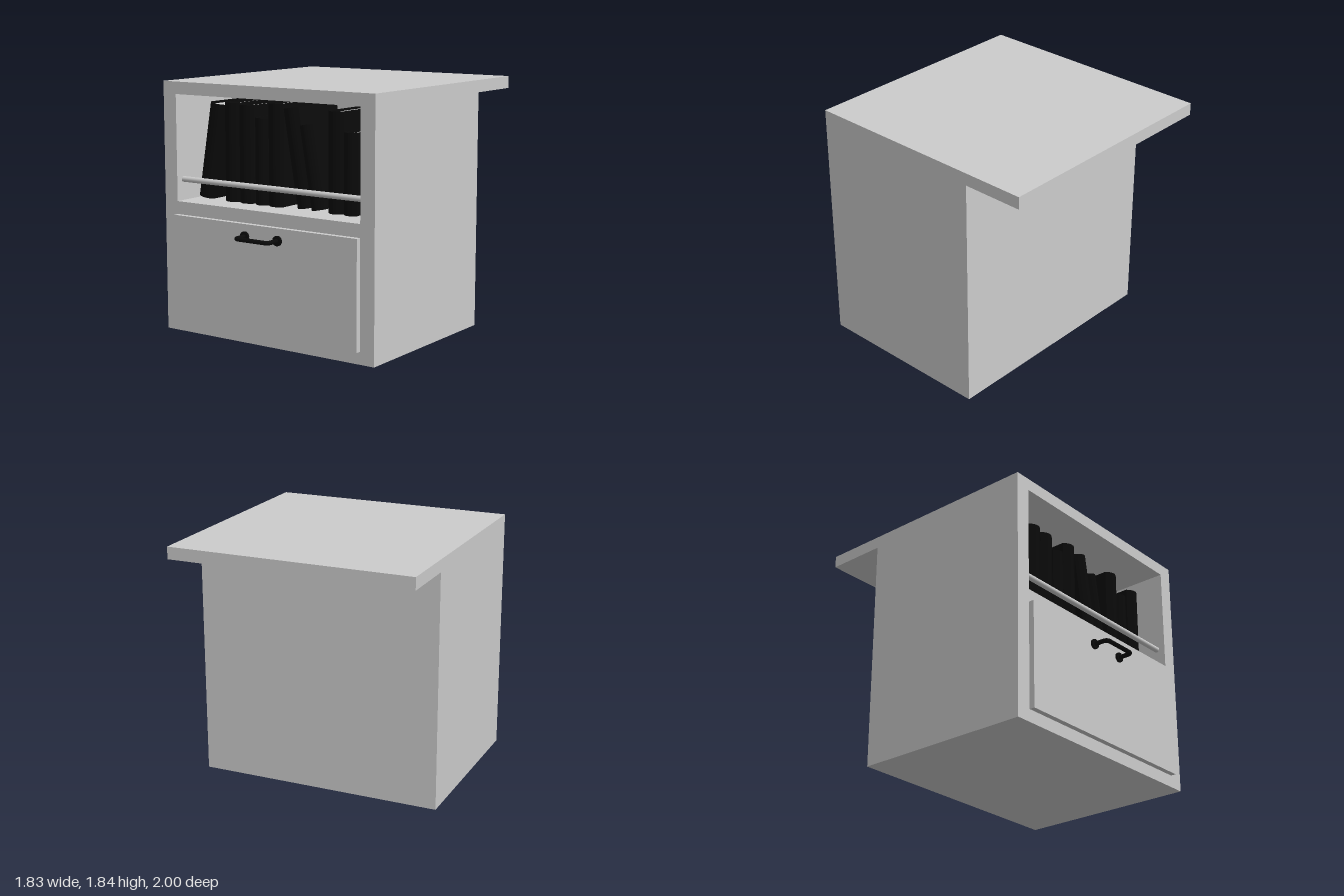
import * as THREE from 'three';

const grey = new THREE.MeshStandardMaterial({ color: 0xcccccc });
const black = new THREE.MeshStandardMaterial({ color: 0x0a0a0a });

function add(parent, name, geometry, material, x = 0, y = 0, z = 0) {
  const mesh = new THREE.Mesh(geometry, material);
  mesh.name = name;
  mesh.position.set(x, y, z);
  parent.add(mesh);
  return mesh;
}

// Box given by its min and max corners
function block(parent, name, [x0, y0, z0], [x1, y1, z1], material = grey) {
  return add(parent, name, new THREE.BoxGeometry(x1 - x0, y1 - y0, z1 - z0), material,
    (x0 + x1) / 2, (y0 + y1) / 2, (z0 + z1) / 2);
}

// Hardback book standing on its origin: wrapped cover with a rounded spine, and a page block
function makeBook(width, height, depth = 0.5) {
  const book = new THREE.Group();
  book.name = 'book';
  const w = width / 2, t = 0.012, bulge = 0.035;
  // Plan outline; shape y points to the back once laid flat
  const s = new THREE.Shape();
  s.moveTo(-w, depth);
  s.lineTo(-w, bulge);
  s.quadraticCurveTo(0, -bulge, w, bulge);
  s.lineTo(w, depth);
  s.lineTo(w - t, depth);
  s.lineTo(w - t, bulge + t);
  s.quadraticCurveTo(0, -bulge + t, -w + t, bulge + t);
  s.lineTo(-w + t, depth);
  s.closePath();
  const cover = new THREE.ExtrudeGeometry(s, { depth: height, bevelEnabled: false, curveSegments: 8 });
  cover.rotateX(-Math.PI / 2);
  add(book, 'bookCover', cover, black);
  block(book, 'bookPages', [-w + t, 0.015, -depth + 0.015], [w - t, height - 0.015, -bulge - t], grey);
  return book;
}

export function createModel() {
  const model = new THREE.Group();
  model.name = 'bedsideCabinet';

  // Carcass: solid lower body with side walls around the open shelf
  const outline = new THREE.Shape([
    [-0.915, 0], [0.915, 0], [0.915, 1.745], [0.8, 1.745],
    [0.8, 0.965], [-0.8, 0.965], [-0.8, 1.745], [-0.915, 1.745],
  ].map(([x, y]) => new THREE.Vector2(x, y)));
  add(model, 'carcass', new THREE.ExtrudeGeometry(outline, { depth: 1.28, bevelEnabled: false }), grey, 0, 0, -0.45);
  block(model, 'backPanel', [-0.915, 0, -0.54], [0.915, 1.745, -0.45]);
  block(model, 'topBoard', [-0.915, 1.745, -1], [0.915, 1.835, 0.83]);

  // Drawer front
  block(model, 'drawerFront', [-0.8, 0.09, 0.83], [0.8, 0.87, 0.87]);

  // Drawer pull: bent rod on two round plates
  const handle = new THREE.Group();
  handle.name = 'drawerHandle';
  handle.position.set(0, 0.783, 0);
  model.add(handle);
  const V = (x, z) => new THREE.Vector3(x, 0, z);
  const path = new THREE.CurvePath();
  path.add(new THREE.LineCurve3(V(-0.143, 0.87), V(-0.143, 0.95)));
  path.add(new THREE.QuadraticBezierCurve3(V(-0.143, 0.95), V(-0.143, 0.984), V(-0.11, 0.984)));
  path.add(new THREE.LineCurve3(V(-0.11, 0.984), V(0.11, 0.984)));
  path.add(new THREE.QuadraticBezierCurve3(V(0.11, 0.984), V(0.143, 0.984), V(0.143, 0.95)));
  path.add(new THREE.LineCurve3(V(0.143, 0.95), V(0.143, 0.87)));
  add(handle, 'handleRod', new THREE.TubeGeometry(path, 60, 0.016, 12), black);
  for (const side of [-1, 1]) {
    const plate = add(handle, 'handlePlate', new THREE.CylinderGeometry(0.036, 0.036, 0.016, 24), black,
      side * 0.143, 0, 0.878);
    plate.rotation.x = Math.PI / 2;
  }

  // Retaining rail across the open shelf
  const rail = add(model, 'shelfRail', new THREE.CylinderGeometry(0.021, 0.021, 1.6, 20), grey, 0, 1.12, 0.76);
  rail.rotation.z = Math.PI / 2;

  // Row of books: [bottom centre x, width, height, lean]
  const books = [
    [-0.715, 0.13, 0.705, -0.17],
    [-0.465, 0.13, 0.72, 0],
    [-0.332, 0.13, 0.71, 0],
    [-0.196, 0.115, 0.625, 0],
    [-0.068, 0.13, 0.735, 0],
    [0.185, 0.13, 0.71, 0.17],
    [0.295, 0.11, 0.6, 0.17],
    [0.448, 0.13, 0.71, 0],
    [0.569, 0.11, 0.572, 0],
    [0.715, 0.13, 0.665, 0],
  ];
  for (const [x, width, height, lean] of books) {
    const book = makeBook(width, height);
    book.position.set(x, 0.966 + Math.abs(Math.sin(lean)) * width / 2, 0.64);
    book.rotation.z = lean;
    model.add(book);
  }
  return model;
}
